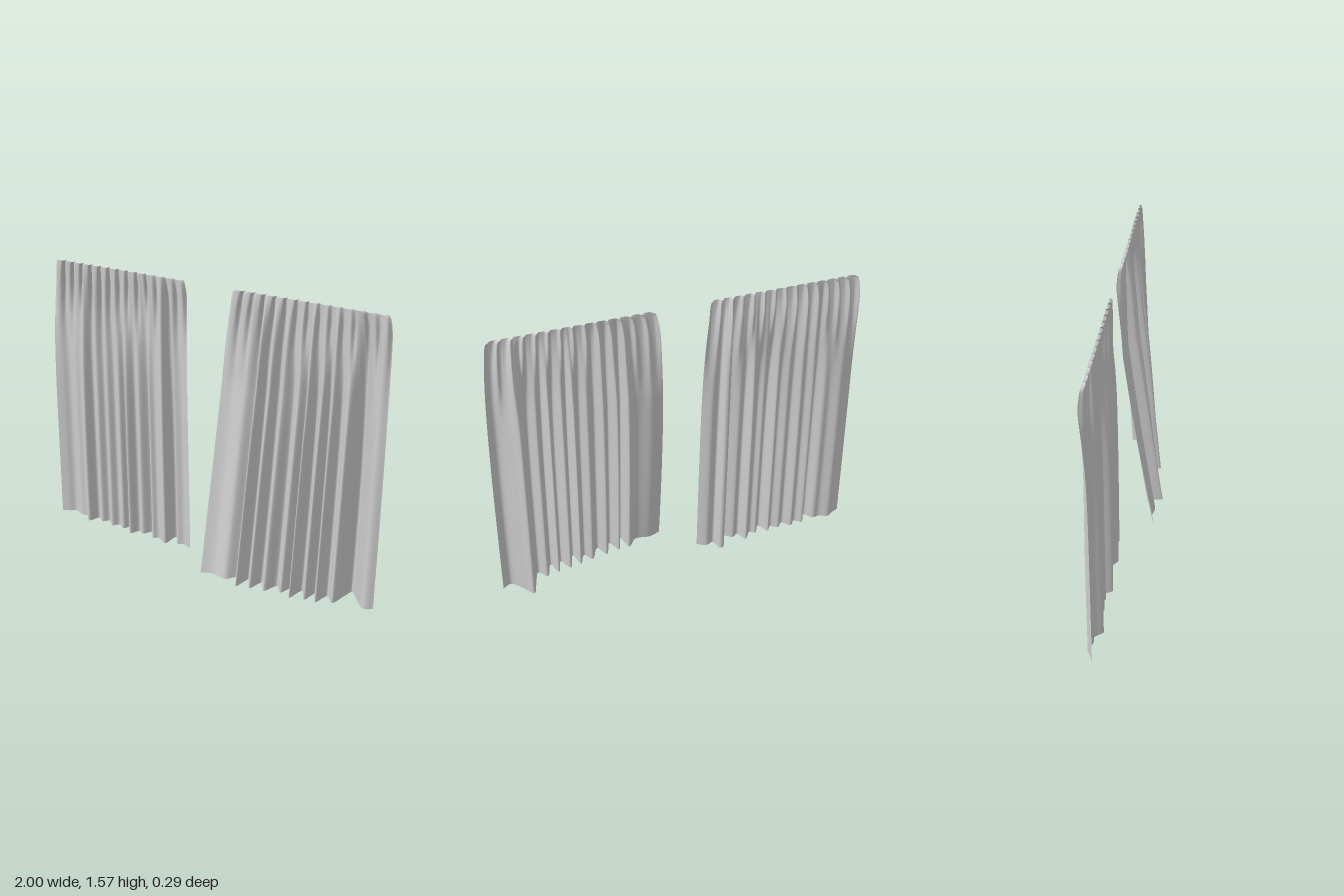
import * as THREE from 'three';

const H = 1.565;      // drop of the curtains
const RAIL_Z = -0.078; // depth of the heading
const PLEATS = 14;

const fabric = new THREE.MeshStandardMaterial({ color: 0xcccccc, side: THREE.DoubleSide });
fabric.name = 'light grey fabric';

// One hanging sheet: a pinched straight heading that relaxes into the hem curve.
// hem: [x, z] points; top: x range at the heading; sweep: forward swing of the hem at each end
function curtain(name, hem, top, sweep) {
  const curve = new THREE.SplineCurve(hem.map(([x, z]) => new THREE.Vector2(x, z)));
  const x0 = hem[0][0], x1 = hem[hem.length - 1][0];
  const cols = 300, rows = 48;
  const geo = new THREE.PlaneGeometry(1, 1, cols, rows);
  const pos = geo.attributes.position;
  const hemRow = Array.from({ length: cols + 1 }, (_, i) => curve.getPoint(i / cols));

  for (let j = 0; j <= rows; j++) {
    const drop = Math.pow(j / rows, 1.5);  // rows are closer near the heading
    const y = H * (1 - drop);
    const spread = Math.pow(drop, 0.35);
    const fold = 1 - Math.pow(y / H, 3.5);
    const swing = Math.pow(Math.max(0, 1 - y / 1.1), 1.2);
    // pinch pleats: deepest just under the heading, fading out downwards
    const depth = 0.016 + 0.014 * Math.min(1, drop / 0.06);
    const pinch = depth * Math.exp(-Math.pow(drop / 0.2, 2));
    const width = 0.13 + 0.6 * drop;

    for (let i = 0; i <= cols; i++) {
      const p = hemRow[i];
      const u = (p.x - x0) / (x1 - x0);
      const xTop = THREE.MathUtils.lerp(top[0], top[1], u);
      const forward = THREE.MathUtils.lerp(sweep[0], sweep[1], u);
      const d = u * PLEATS - Math.round(u * PLEATS);
      const z = RAIL_Z + 0.005 + forward * swing + (p.y - RAIL_Z - forward) * fold
        - pinch * Math.exp(-Math.pow(d / width, 2));
      pos.setXYZ(j * (cols + 1) + i, THREE.MathUtils.lerp(xTop, p.x, spread), y, z);
    }
  }
  geo.computeVertexNormals();
  const mesh = new THREE.Mesh(geo, fabric);
  mesh.name = name;
  return mesh;
}

export function createModel() {
  const group = new THREE.Group();
  group.name = 'curtains';

  // straight hanging curtain
  const straightHem = [
    [-1, -0.07], [-0.96, -0.085], [-0.92, -0.105], [-0.87, -0.085], [-0.83, -0.085], [-0.79, -0.045],
    [-0.755, -0.1], [-0.715, -0.075], [-0.68, -0.105], [-0.64, -0.065], [-0.605, -0.095],
    [-0.565, -0.07], [-0.535, -0.1], [-0.5, -0.042], [-0.465, -0.09], [-0.43, -0.075],
    [-0.39, -0.12], [-0.36, -0.065], [-0.325, -0.08], [-0.265, -0.048], [-0.25, -0.13],
    [-0.22, -0.135], [-0.205, -0.08], [-0.16, -0.09], [-0.11, -0.065],
  ];
  group.add(curtain('straightCurtain', straightHem, [-0.93, -0.16], [0, 0]));

  // curtain blown forward at its inner edge
  const blownHem = [
    [0.055, 0.11], [0.12, 0.09], [0.2, 0.1], [0.255, 0.05], [0.282, 0.135], [0.315, 0.045],
    [0.353, 0.115], [0.39, 0.035], [0.43, 0.1], [0.475, 0.025], [0.515, 0.07], [0.55, 0.01],
    [0.575, 0.092], [0.61, 0], [0.65, 0.068], [0.68, -0.01], [0.71, 0.062], [0.745, -0.02],
    [0.79, 0.025], [0.82, -0.055], [0.845, -0.12], [0.885, -0.075], [0.945, -0.01], [0.995, -0.03],
  ];
  group.add(curtain('blownCurtain', blownHem, [0.14, 0.92], [0.17, 0.03]));

  return group;
}
